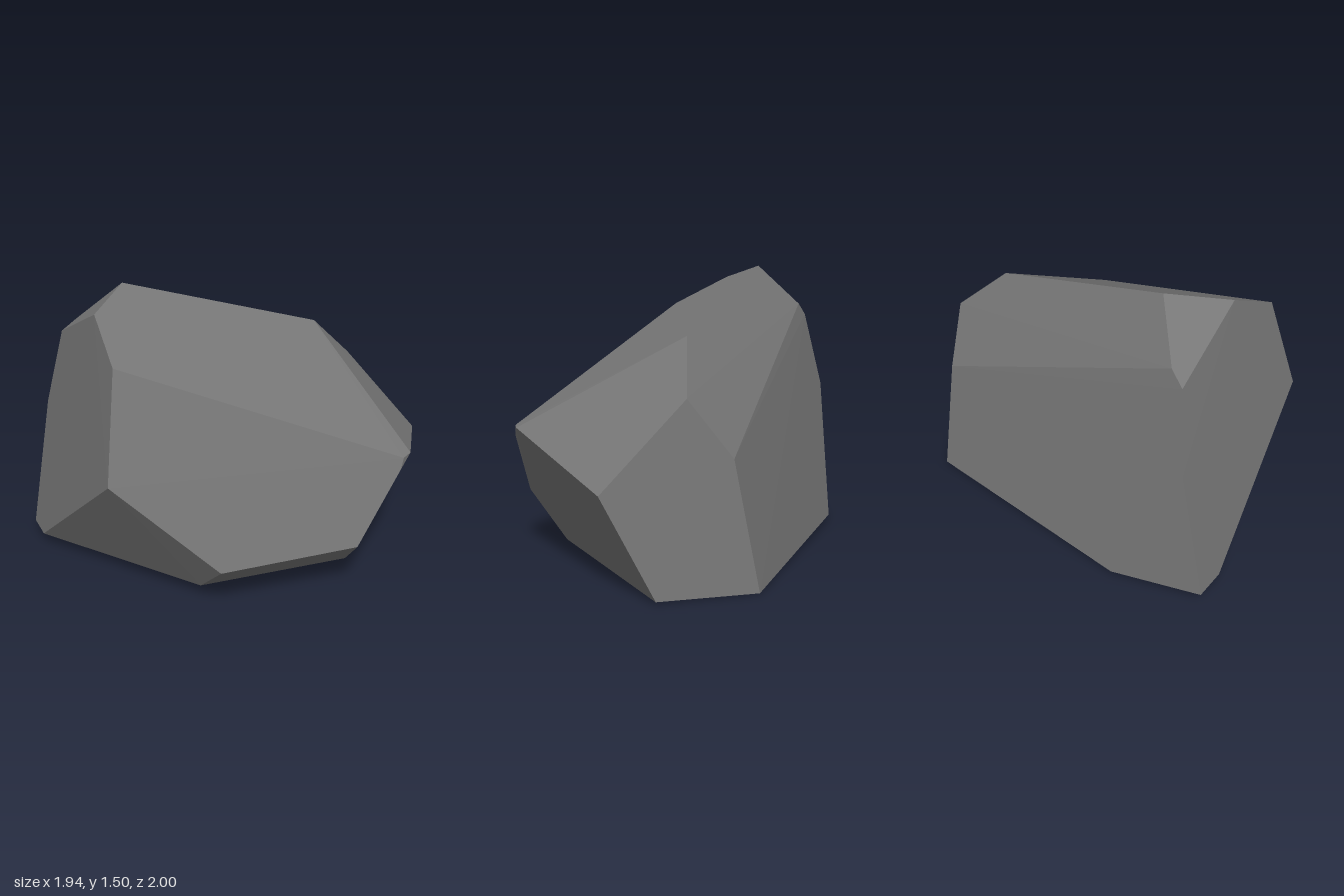
import * as THREE from 'three';
import { ConvexGeometry } from 'three/addons/geometries/ConvexGeometry.js';

// Corners of the faceted boulder, grouped by where they sit
const corners = {
  base: [[-0.97, 0.06, 0.59], [-0.82, 0.06, 0.675], [0.24, 0.075, 0.61], [0.71, 0.055, -0.075],
    [0.41, 0.01, -1], [-0.09, 0, -0.97], [-0.857, 0.04, 0.12]],
  frontAndRight: [[-0.01, 0.73, 0.995], [0.43, 0.26, 0.695], [0.884, 0.29, 0.135],
    [0.97, 0.645, -0.135], [0.97, 0.70, -0.16], [0.97, 0.70, -0.24]],
  crown: [[-0.09, 1.265, 0.83], [-0.365, 1.43, 0.64], [-0.465, 1.5, 0.31], [0.17, 1.175, -0.595]],
  leftShoulder: [[-0.74, 1.275, 0.38], [-0.8, 1.21, 0.435], [-0.92, 0.785, 0.463]],
  back: [[0.24, 0.915, -0.89], [0.02, 0.63, -0.907], [0.66, 0.505, -0.965]],
};

export function createModel() {
  const group = new THREE.Group();
  group.name = 'rock';

  const stone = new THREE.MeshStandardMaterial({ color: 0x777777 });
  stone.name = 'stone grey';

  // Convex hull with one flat normal per facet
  const points = Object.values(corners).flat().map((p) => new THREE.Vector3(...p));
  const boulder = new THREE.Mesh(new ConvexGeometry(points), stone);
  boulder.name = 'boulder';
  group.add(boulder);
  return group;
}
